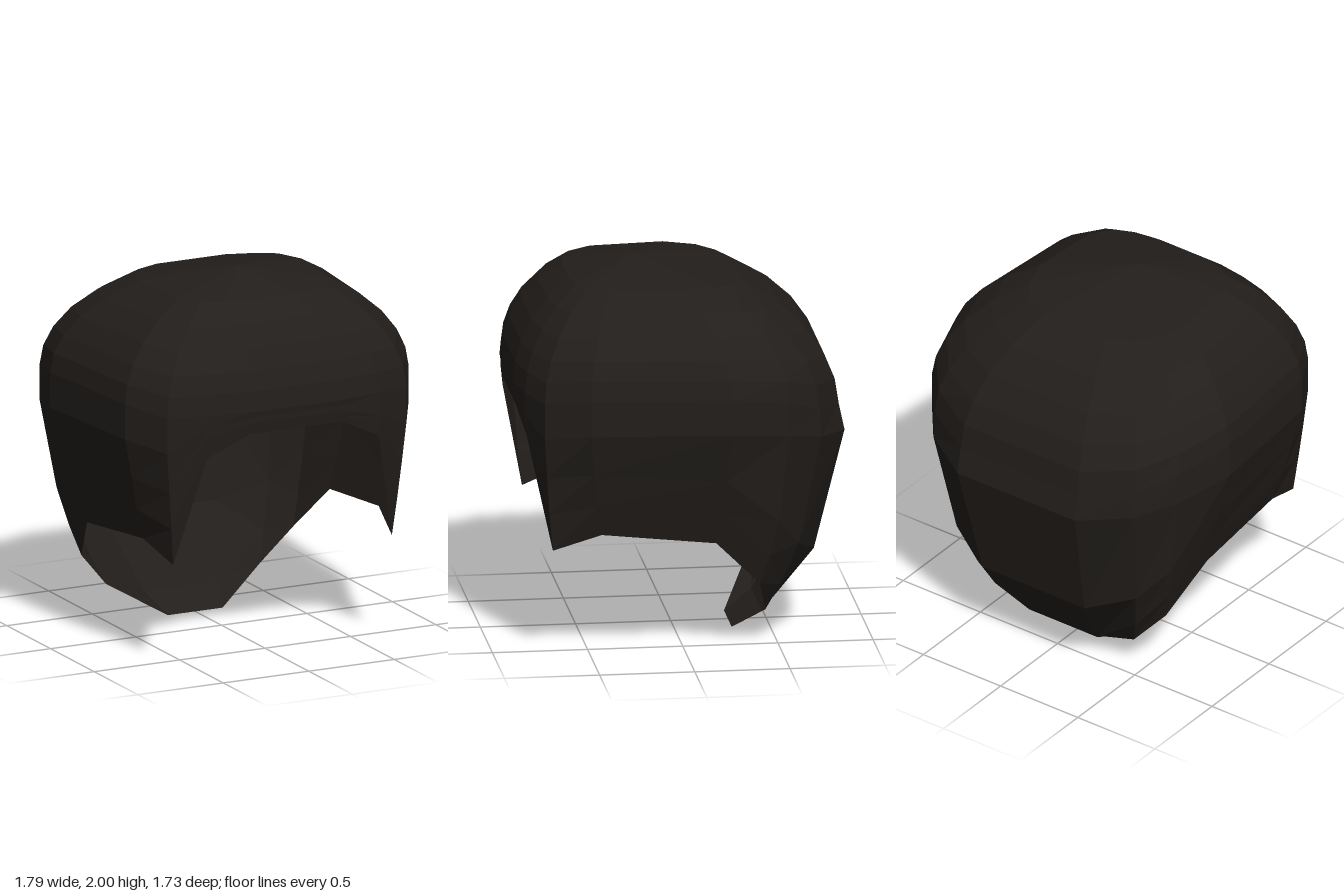
import * as THREE from 'three';

const CROWN = [0, 2, 0.2];

// Dome curve shared by all strands: [outward share, downward share] from crown to widest point
const DOME = [[0.53, 0.14], [0.71, 0.3], [0.84, 0.47], [0.93, 0.65], [0.98, 0.82]];

// Strands of one half, front to back: widest point, three points below it, hem
const STRANDS = [
  [[0.27, 1.40, 0.865], [0.27, 1.37, 0.86], [0.27, 1.34, 0.86], [0.27, 1.31, 0.855], [0.27, 1.28, 0.85]],
  [[0.50, 1.40, 0.83], [0.50, 1.34, 0.83], [0.50, 1.28, 0.83], [0.50, 1.22, 0.825], [0.50, 1.17, 0.82]],
  [[0.70, 1.39, 0.75], [0.70, 1.20, 0.75], [0.68, 0.98, 0.735], [0.66, 0.78, 0.72], [0.64, 0.58, 0.70]],
  [[0.83, 1.43, 0.52], [0.83, 1.24, 0.52], [0.78, 1.02, 0.50], [0.74, 0.84, 0.475], [0.69, 0.67, 0.45]],
  [[0.895, 1.43, -0.21], [0.895, 1.24, -0.21], [0.82, 0.97, -0.19], [0.76, 0.78, -0.17], [0.71, 0.61, -0.15]],
  [[0.80, 1.38, -0.52], [0.80, 1.20, -0.52], [0.72, 0.72, -0.48], [0.67, 0.52, -0.435], [0.62, 0.36, -0.39]],
  [[0.65, 1.30, -0.70], [0.65, 1.15, -0.71], [0.58, 0.56, -0.60], [0.51, 0.32, -0.51], [0.45, 0.17, -0.44]],
  [[0.38, 1.25, -0.835], [0.38, 1.11, -0.865], [0.33, 0.46, -0.71], [0.22, 0.10, -0.45], [0.16, 0.00, -0.30]],
];

const lerp = THREE.MathUtils.lerp;

// Full strand from just below the crown to the hem
function strand(lower) {
  const [x, y, z] = lower[0];
  const dome = DOME.map(([out, down]) => [
    lerp(CROWN[0], x, out), lerp(CROWN[1], y, down), lerp(CROWN[2], z, out),
  ]);
  return [...dome, ...lower];
}

const mirror = (col) => col.map(([x, y, z]) => [-x, y, z]);

// Fan at the crown, then quads between strands; their diagonals all lean the same
// way round, which leaves the left side smooth and the right side pleated
function shell(columns) {
  const rows = columns[0].length;
  const index = [];
  columns.forEach((_, c) => {
    const here = 1 + c * rows;
    const next = 1 + ((c + 1) % columns.length) * rows;
    index.push(0, here, next);
    for (let r = 0; r < rows - 1; r++) {
      index.push(here + r, here + r + 1, next + r, here + r + 1, next + r + 1, next + r);
    }
  });
  const geometry = new THREE.BufferGeometry();
  const points = [CROWN, ...columns.flat()].flat();
  geometry.setAttribute('position', new THREE.Float32BufferAttribute(points, 3));
  geometry.setIndex(index);
  geometry.computeVertexNormals();
  return geometry;
}

export function createModel() {
  const group = new THREE.Group();
  group.name = 'hair';

  const left = STRANDS.map(strand);
  const right = left.map(mirror).reverse();

  const material = new THREE.MeshStandardMaterial({
    color: 0x221e1b, flatShading: true, side: THREE.DoubleSide,
  });
  const cap = new THREE.Mesh(shell([...left, ...right]), material);
  cap.name = 'hairCap';
  group.add(cap);
  return group;
}
